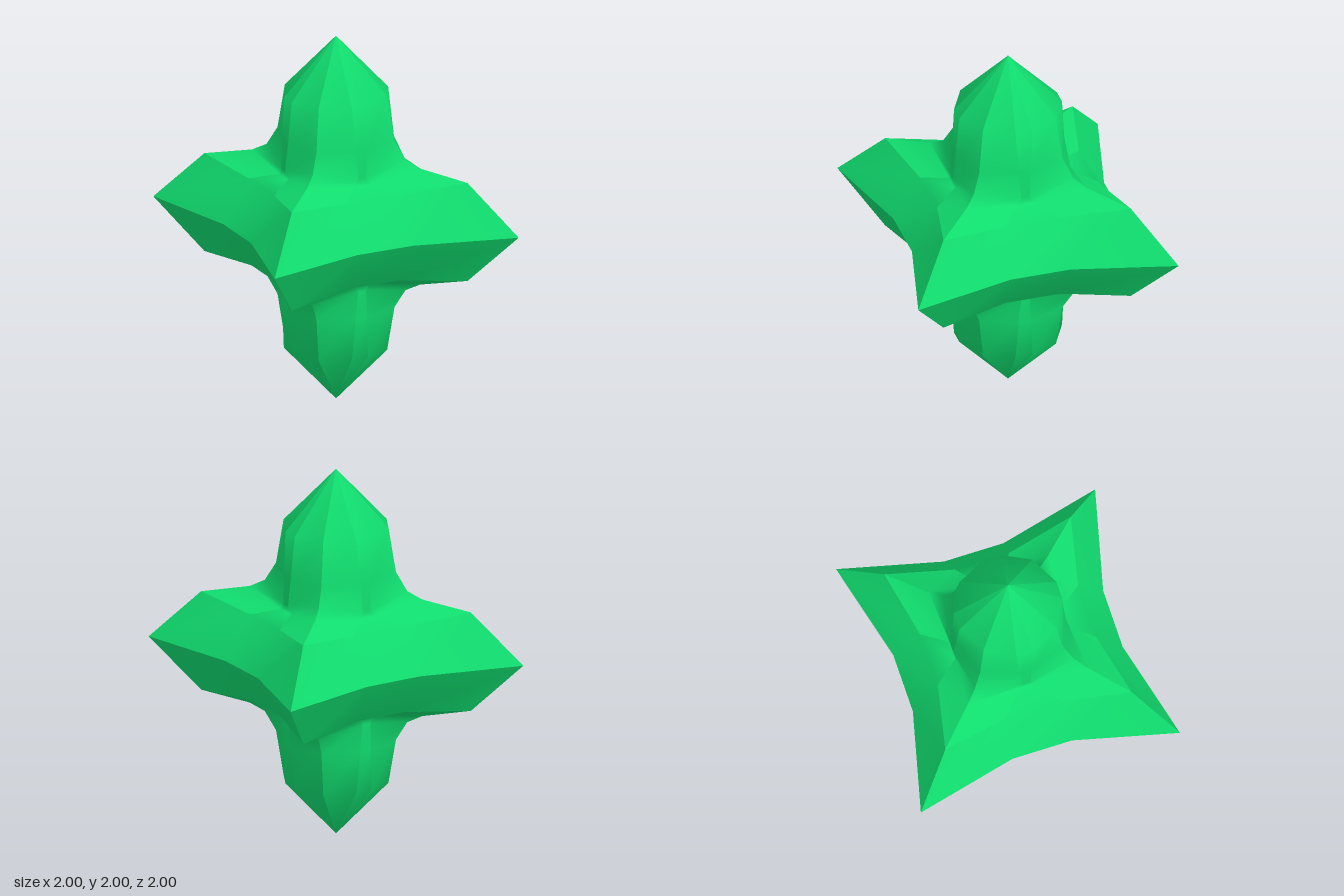
import * as THREE from 'three';
import { mergeGeometries, mergeVertices } from 'three/addons/utils/BufferGeometryUtils.js';

// Profile of one arm: ridge points on its middle plane, edge points at its side.
const APEX = [0, 2, 0];
const RIDGE = [APEX, [0.28, 1.7, 0], [0.32, 1.46, 0], [0.38, 1.36, 0], [0.46, 1.32, 0], [0.72, 1.27, 0]];
const EDGE = [APEX, [0.23, 1.69, 0.165], [0.232, 1.46, 0.185], [0.232, 1.31, 0.2], [0.25, 1.27, 0.18], [0.41, 1.235, 0.2]];
const TIP = [1, 1, 0];
const NOTCH = [0.52, 1, 0.29];

const mirrorZ = ([x, y, z]) => [x, y, -z];
const swapXZ = ([x, y, z]) => [z, y, x];

// Surface through rows of points (top to bottom, left to right seen from outside)
function sheet(rows) {
  const n = rows[0].length;
  const index = [];
  for (let i = 0; i < rows.length - 1; i++) {
    for (let j = 0; j < n - 1; j++) {
      const a = i * n + j, c = a + n;
      index.push(a, c, a + 1, a + 1, c, c + 1);
    }
  }
  const geometry = new THREE.BufferGeometry();
  geometry.setAttribute('position', new THREE.Float32BufferAttribute(rows.flat(2), 3));
  geometry.setIndex(index);
  return geometry;
}

// Join sheets into one smoothly shaded patch
function smoothPatch(...sheets) {
  const geometry = mergeVertices(mergeGeometries(sheets));
  geometry.computeVertexNormals();
  return geometry;
}

export function createModel() {
  const model = new THREE.Group();
  model.name = 'sixPointedCrystal';
  const material = new THREE.MeshStandardMaterial({ color: 0x10dc6e });

  // Two facets meeting at the ridge of an arm
  const facetA = smoothPatch(sheet(RIDGE.map((p, i) => [EDGE[i], p])));
  const facetB = smoothPatch(sheet(RIDGE.map((p, i) => [p, mirrorZ(EDGE[i])])));

  // Narrow corner strip running down into the wide bevel between two arms
  const strip = sheet(EDGE.map((p) => [swapXZ(p), p]));
  const bevel = sheet([
    [swapXZ(RIDGE[5]), swapXZ(EDGE[5]), EDGE[5], RIDGE[5]],
    [swapXZ(TIP), swapXZ(NOTCH), NOTCH, TIP],
  ]);
  const corner = smoothPatch(strip, bevel);

  const parts = { ridgeFacetLeft: facetA, ridgeFacetRight: facetB, cornerBevel: corner };

  // Upper and lower halves, each with four quarters
  for (const half of ['upperHalf', 'lowerHalf']) {
    const group = new THREE.Group();
    group.name = half;
    for (let q = 0; q < 4; q++) {
      for (const [name, geometry] of Object.entries(parts)) {
        const mesh = new THREE.Mesh(geometry, material);
        mesh.name = name;
        mesh.rotation.y = (q * Math.PI) / 2;
        group.add(mesh);
      }
    }
    if (half === 'lowerHalf') {
      group.rotation.x = Math.PI;
      group.position.y = 2;
    }
    model.add(group);
  }
  return model;
}
